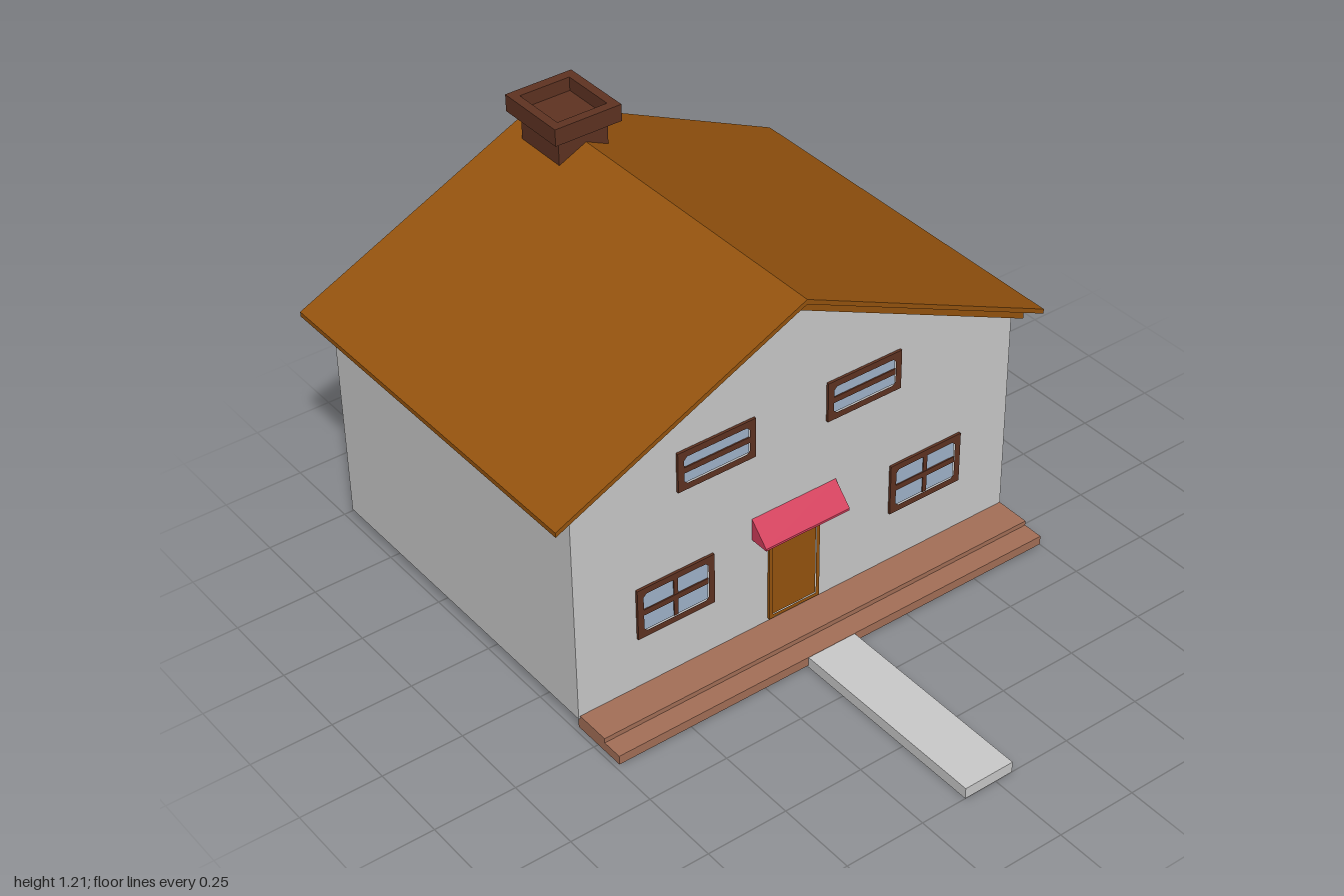
import * as THREE from 'three';

const mat = (name, color) => {
  const m = new THREE.MeshStandardMaterial({ color });
  m.name = name;
  return m;
};

export function createModel() {
  const house = new THREE.Group();
  house.name = 'house';

  const plaster = mat('plaster', 0xcbcbcb);
  const wood = mat('brown wood', 0x96540e);
  const brick = mat('dark brown', 0x5f3322);
  const deckWood = mat('deck wood', 0xa57058);
  const glass = mat('glass', 0xa1b5cc);
  const red = mat('awning red', 0xd23c5a);

  const add = (name, geometry, material, parent = house) => {
    const mesh = new THREE.Mesh(geometry, material);
    mesh.name = name;
    parent.add(mesh);
    return mesh;
  };

  // Box given by its limits on each axis
  const box = (name, material, [x0, x1], [y0, y1], [z0, z1], parent) => {
    const g = new THREE.BoxGeometry(x1 - x0, y1 - y0, z1 - z0);
    g.translate((x0 + x1) / 2, (y0 + y1) / 2, (z0 + z1) / 2);
    return add(name, g, material, parent);
  };

  // Outline of [z, y] points, with optional holes, extruded from x0 to x1
  const prism = (name, material, points, x0, x1, holes = [], parent = house) => {
    const toVec = ([z, y]) => new THREE.Vector2(-z, y);
    const shape = new THREE.Shape(points.map(toVec));
    holes.forEach((h) => shape.holes.push(new THREE.Path(h.map(toVec))));
    const g = new THREE.ExtrudeGeometry(shape, { depth: x1 - x0, bevelEnabled: false });
    g.rotateY(Math.PI / 2).translate(x0, 0, 0);
    return add(name, g, material, parent);
  };

  const rect = (z0, z1, y0, y1) => [[z0, y0], [z1, y0], [z1, y1], [z0, y1]];

  const ridge = 0.022, slope = 0.46, wallX = 0.176;
  const roofY = (z, top) => top - slope * Math.abs(z - ridge);

  // Walls with gables
  prism('walls', plaster, [
    [-0.745, 0.043], [0.745, 0.043], [0.745, roofY(0.745, 1.07)],
    [ridge, 1.07], [-0.745, roofY(-0.745, 1.07)],
  ], -0.957, wallX);

  // Roof slab and the smaller layer below it
  const gableSlab = (name, z0, z1, top, bottom, x0, x1) => prism(name, wood, [
    [z0, roofY(z0, bottom)], [z0, roofY(z0, top)], [ridge, top],
    [z1, roofY(z1, top)], [z1, roofY(z1, bottom)], [ridge, bottom],
  ], x0, x1);
  gableSlab('roof', -0.82, 0.82, 1.112, 1.097, -1, 0.226);
  gableSlab('roofTrim', -0.786, 0.782, 1.097, 1.055, -0.963, 0.182);

  // Chimney with a hollow cap
  const chimney = new THREE.Group();
  chimney.name = 'chimney';
  house.add(chimney);
  box('chimneyStack', brick, [-0.927, -0.747], [1.07, 1.165], [-0.052, 0.114], chimney);
  for (const [x0, x1] of [[-0.958, -0.927], [-0.747, -0.718]])
    box('chimneyCapSide', brick, [x0, x1], [1.155, 1.208], [-0.08, 0.142], chimney);
  for (const [z0, z1] of [[-0.08, -0.052], [0.114, 0.142]])
    box('chimneyCapEnd', brick, [-0.927, -0.747], [1.155, 1.208], [z0, z1], chimney);

  // Windows: upper ones have one bar, lower ones a cross
  const makeWindow = (name, z0, z1, y0, y1, cross) => {
    const g = new THREE.Group();
    g.name = name;
    house.add(g);
    const b = 0.02, c = 0.01;
    const a0 = z0 + b, a1 = z1 - b, b0 = y0 + b, b1 = y1 - b;
    const opening = [
      [a0 + c, b0], [a1 - c, b0], [a1, b0 + c], [a1, b1 - c],
      [a1 - c, b1], [a0 + c, b1], [a0, b1 - c], [a0, b0 + c],
    ];
    prism('windowFrame', brick, rect(z0, z1, y0, y1), wallX, wallX + 0.008, [opening], g);
    box('windowGlass', glass, [wallX, wallX + 0.003], [b0, b1], [a0, a1], g);
    const ym = (y0 + y1) / 2, zm = (z0 + z1) / 2;
    box('windowBar', brick, [wallX, wallX + 0.007], [ym - 0.009, ym + 0.009], [a0, a1], g);
    if (cross)
      box('windowUpright', brick, [wallX, wallX + 0.006], [b0, b1], [zm - 0.007, zm + 0.007], g);
  };
  makeWindow('upperLeftWindow', 0.155, 0.409, 0.646, 0.772, false);
  makeWindow('upperRightWindow', -0.342, -0.088, 0.646, 0.772, false);
  makeWindow('lowerLeftWindow', 0.295, 0.549, 0.22, 0.386, true);
  makeWindow('lowerRightWindow', -0.571, -0.317, 0.22, 0.386, true);

  // Door with a raised border
  prism('doorFrame', wood, rect(-0.066, 0.109, 0.06, 0.356), wallX, wallX + 0.008,
    [rect(-0.054, 0.097, 0.072, 0.344)]);
  box('doorPanel', wood, [wallX, wallX + 0.005], [0.072, 0.344], [-0.054, 0.097]);

  // Sloping awning over the door
  const awning = new THREE.Shape([
    new THREE.Vector2(wallX, 0.363), new THREE.Vector2(0.238, 0.363),
    new THREE.Vector2(0.238, 0.37), new THREE.Vector2(wallX, 0.434),
  ]);
  const awningGeometry = new THREE.ExtrudeGeometry(awning, { depth: 0.288, bevelEnabled: false });
  add('awning', awningGeometry.translate(0, 0, -0.125), red);

  // Stepped deck and garden path
  box('deckLowerStep', deckWood, [0.167, 0.352], [0.007, 0.036], [-0.745, 0.74]);
  box('deckUpperStep', deckWood, [0.167, 0.287], [0.036, 0.051], [-0.745, 0.74]);
  box('path', plaster, [0.345, 1], [0, 0.035], [-0.057, 0.105]);

  return house;
}
